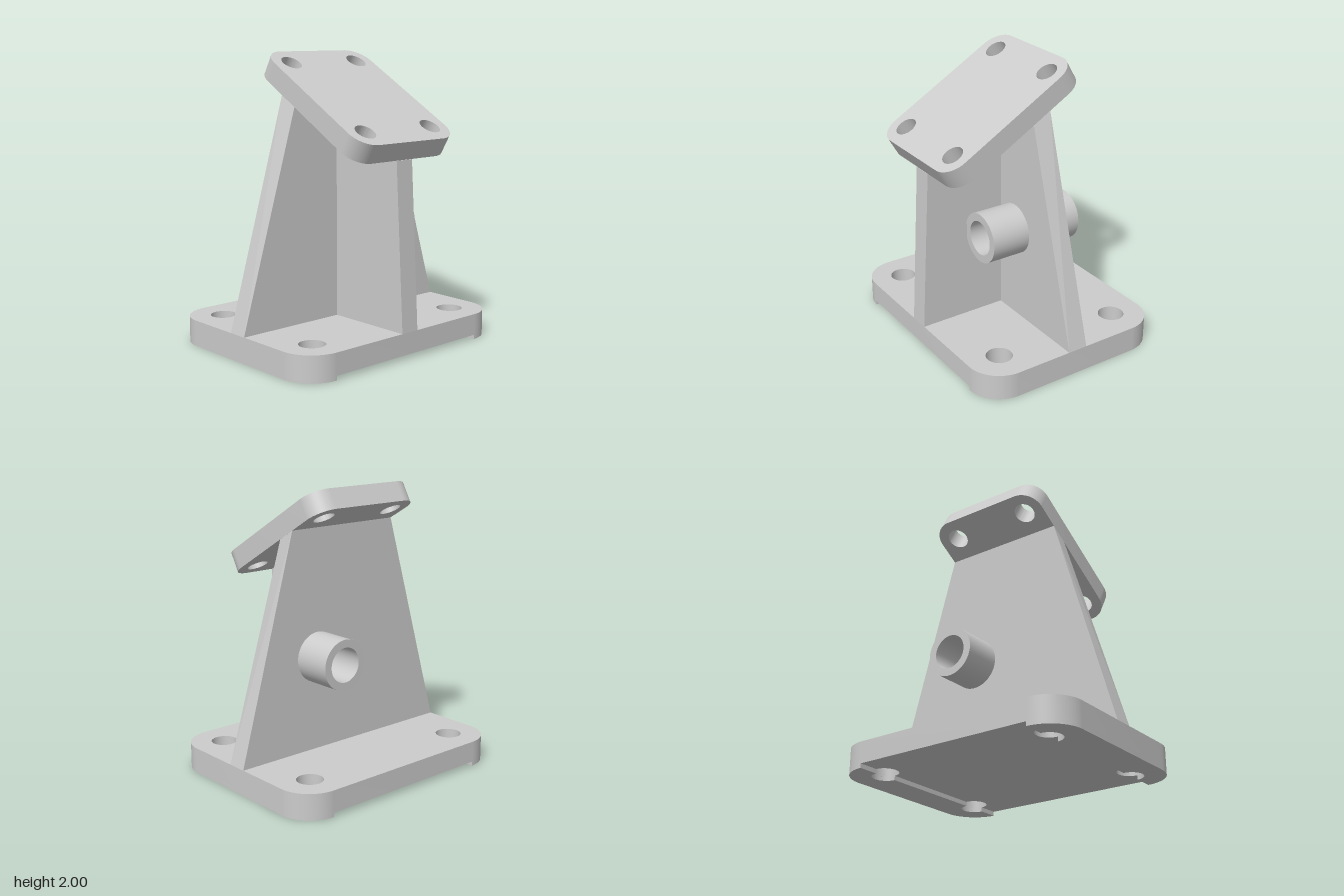
import * as THREE from 'three';
import { toCreasedNormals } from 'three/addons/utils/BufferGeometryUtils.js';
import { ConvexGeometry } from 'three/addons/geometries/ConvexGeometry.js';

const material = new THREE.MeshStandardMaterial({ color: 0xcccccc });
const PI = Math.PI;

function part(name, geometry) {
  const mesh = new THREE.Mesh(geometry, material);
  mesh.name = name;
  return mesh;
}

function circle(x, y, r) {
  return new THREE.Path().absarc(x, y, r, 0, 2 * PI, true);
}

// Rounded rectangle with one hole near each corner
function plateShape(hx, hy, r, holeX, holeY, holeR) {
  const s = new THREE.Shape();
  s.absarc(hx - r, hy - r, r, 0, PI / 2);
  s.absarc(-hx + r, hy - r, r, PI / 2, PI);
  s.absarc(-hx + r, -hy + r, r, PI, 1.5 * PI);
  s.absarc(hx - r, -hy + r, r, 1.5 * PI, 2 * PI);
  s.closePath();
  for (const x of [-holeX, holeX])
    for (const y of [-holeY, holeY]) s.holes.push(circle(x, y, holeR));
  return s;
}

function extrude(shape, depth) {
  const g = new THREE.ExtrudeGeometry(shape, { depth, bevelEnabled: false, curveSegments: 24 });
  return toCreasedNormals(g, 0.5);
}

// Tapered block between a bottom rectangle and a top cut by the sloping plate
const undersideY = (z) => 1.597 - Math.tan(PI / 6) * (z - 0.153);
function taperedBlock(bottom, top) {
  const points = [];
  for (const sx of [-1, 1]) {
    for (const z of bottom.z) points.push(new THREE.Vector3(sx * bottom.x, 0.18, z));
    for (const z of top.z) points.push(new THREE.Vector3(sx * top.x, undersideY(z), z));
  }
  return new ConvexGeometry(points);
}

export function createModel() {
  const model = new THREE.Group();
  const hx = 0.885, hz = 0.707, r = 0.235, holeR = 0.09;
  const cx = hx - r, cz = hz - r;

  // Base plate, raised on two feet that leave a shallow channel underneath
  const base = part('basePlate', extrude(plateShape(hx, hz, r, cx, cz, holeR), 0.15).rotateX(-PI / 2));
  base.position.y = 0.03;
  model.add(base);

  const footShape = new THREE.Shape();
  footShape.absarc(cx, -cz, r, -PI / 2, 0);
  footShape.absarc(cx, cz, r, 0, PI / 2);
  footShape.absarc(cx, cz, holeR, PI / 2, -PI / 2, true);
  footShape.absarc(cx, -cz, holeR, PI / 2, -PI / 2, true);
  footShape.closePath();
  for (const [name, turn] of [['leftFoot', 0], ['rightFoot', PI]]) {
    const foot = part(name, extrude(footShape, 0.03).rotateX(-PI / 2));
    foot.rotation.y = turn;
    model.add(foot);
  }

  // Upright web and front rib
  model.add(part('web', taperedBlock({ x: hx, z: [-0.071, 0.071] }, { x: 0.443, z: [-0.061, 0.066] })));
  model.add(part('rib', taperedBlock({ x: 0.071, z: [0, hz] }, { x: 0.071, z: [0, 0.64] })));

  // Sloping mounting plate
  const top = part('mountingPlate',
    extrude(plateShape(0.443, 0.56, 0.145, 0.297, 0.415, 0.073), 0.143).translate(0, 0, -0.0715));
  top.rotation.x = -PI / 3;
  top.position.set(0, 1.659, 0.189);
  model.add(top);

  // Hollow boss on both sides of the web
  const ring = new THREE.Shape().absarc(0, 0, 0.175, 0, 2 * PI);
  ring.holes.push(circle(0, 0, 0.12));
  const boss = part('boss', extrude(ring, 0.695));
  boss.position.set(0.235, 0.835, -0.346);
  model.add(boss);

  return model;
}
